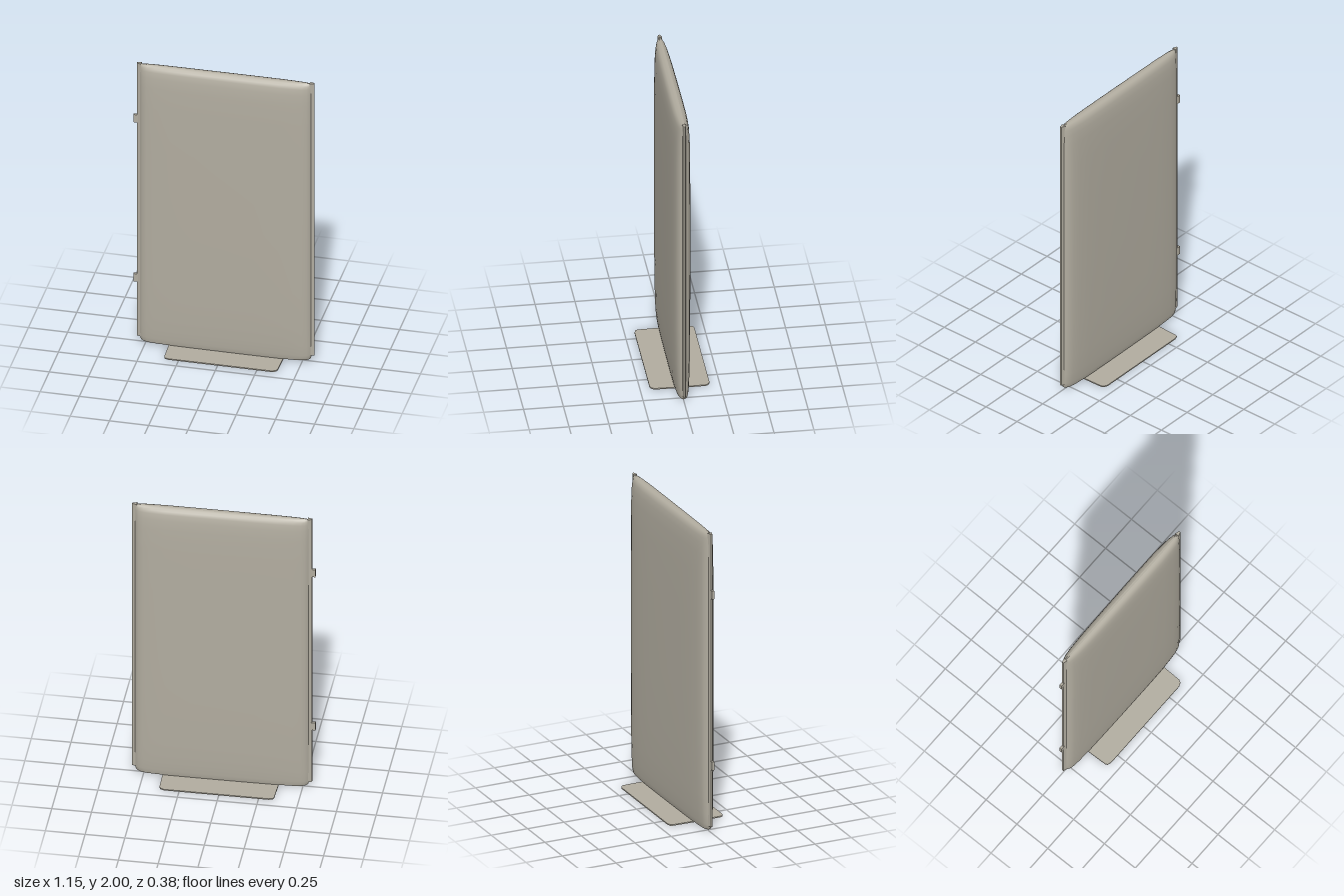
import * as THREE from 'three';

const material = new THREE.MeshStandardMaterial({ color: 0xb2ada0 });
material.name = 'warm grey';

// Half section of the panel: [x, half thickness]
const section = [
  [-0.54, 0.006], [-0.533, 0.018], [-0.515, 0.033], [-0.49, 0.041], [-0.44, 0.048], [-0.34, 0.053],
  [-0.2, 0.056], [0, 0.058], [0.2, 0.059], [0.36, 0.058], [0.45, 0.052], [0.5, 0.046],
  [0.53, 0.036], [0.548, 0.022], [0.558, 0.006],
];
// Levels going up: [y, thickness scale, width scale]
const levels = [
  [0.012, 0.6, 0.965], [0.02, 0.68, 0.985], [0.05, 0.75, 1], [0.12, 0.84, 1], [0.25, 0.92, 1],
  [0.5, 0.98, 1], [0.9, 1, 1], [1.4, 1, 1], [1.7, 0.98, 1], [1.85, 0.92, 1], [1.92, 0.84, 1],
  [1.96, 0.72, 1], [1.98, 0.58, 1], [1.992, 0.38, 0.995], [1.998, 0.12, 0.99],
];

function panelRing([y, thick, wide]) {
  const front = section.map(([x, z]) => [x * wide, y, z * thick]);
  const back = section.map(([x, z]) => [x * wide, y, -z * thick]).reverse();
  return [...front, ...back];
}

// Lofted cushion-shaped panel
function panelGeometry() {
  const n = section.length * 2;
  const positions = levels.flatMap((level) => panelRing(level).flat());
  const index = [];
  for (let i = 0; i < levels.length - 1; i++) {
    for (let j = 0; j < n; j++) {
      const a = i * n + j, b = i * n + ((j + 1) % n);
      index.push(a, b, b + n, a, b + n, a + n);
    }
  }
  // Close the ends with their own vertices so the rims stay crisp
  for (const [level, up] of [[levels[0], false], [levels[levels.length - 1], true]]) {
    const start = positions.length / 3;
    positions.push(...panelRing(level).flat());
    for (let j = 0; j < section.length - 1; j++) {
      const a = start + j, b = a + 1, c = start + n - 2 - j, d = c + 1;
      if (up) index.push(a, b, c, a, c, d);
      else index.push(a, c, b, a, d, c);
    }
  }
  const geometry = new THREE.BufferGeometry();
  geometry.setAttribute('position', new THREE.Float32BufferAttribute(positions, 3));
  geometry.setIndex(index);
  geometry.computeVertexNormals();
  return geometry;
}

// Foot plate with clipped corners, drawn in x and z
function footGeometry() {
  const half = [[-0.35, 0], [-0.345, 0.165], [-0.338, 0.18], [-0.315, 0.188],
    [0.345, 0.188], [0.368, 0.178], [0.377, 0.16], [0.38, 0]];
  const outline = [...half, ...half.slice(1, -1).reverse().map(([x, z]) => [x, -z])];
  const shape = new THREE.Shape(outline.map(([x, z]) => new THREE.Vector2(x, -z)));
  return new THREE.ExtrudeGeometry(shape, { depth: 0.008, bevelEnabled: false }).rotateX(-Math.PI / 2);
}

// Seam strip running up a side, tapering outwards; side is -1 or 1
function seamGeometry(inner, outer, bottom, top) {
  const shape = new THREE.Shape([
    new THREE.Vector2(inner, 0.014), new THREE.Vector2(inner, -0.014),
    new THREE.Vector2(outer, -0.005), new THREE.Vector2(outer, 0.005),
  ]);
  return new THREE.ExtrudeGeometry(shape, { depth: top - bottom, bevelEnabled: false })
    .rotateX(-Math.PI / 2).translate(0, bottom, 0);
}

export function createModel() {
  const model = new THREE.Group();
  model.name = 'standing panel';
  const add = (name, geometry) => {
    const mesh = new THREE.Mesh(geometry, material);
    mesh.name = name;
    model.add(mesh);
    return mesh;
  };

  add('panel', panelGeometry());
  add('footPlate', footGeometry());
  add('leftSeam', seamGeometry(0.545, 0.574, 0.045, 2));
  add('rightSeam', seamGeometry(-0.53, -0.557, 0.04, 2));

  // Small hinge tabs on the right edge
  for (const [name, y] of [['upperTab', 1.6], ['lowerTab', 0.455]]) {
    add(name, new THREE.BoxGeometry(0.03, 0.055, 0.016)).position.set(-0.564, y, 0);
  }
  return model;
}
